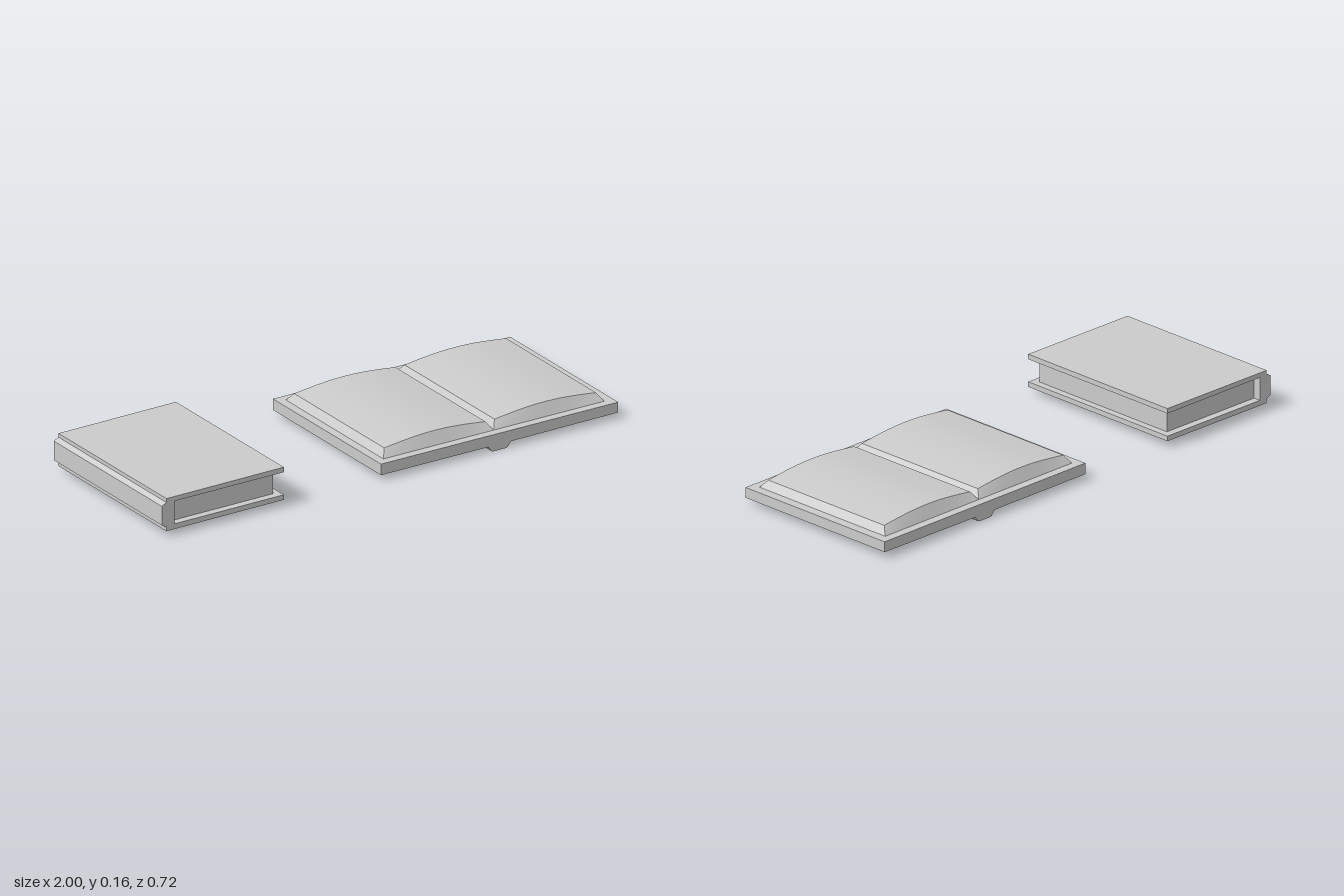
import * as THREE from 'three';
import { toCreasedNormals } from 'three/addons/utils/BufferGeometryUtils.js';

const material = new THREE.MeshStandardMaterial({ color: 0xcccccc });

function addMesh(parent, name, geometry) {
  const mesh = new THREE.Mesh(geometry, material);
  mesh.name = name;
  parent.add(mesh);
  return mesh;
}

// Extrude an x-y outline along z, centred on z = 0
function prism(points, depth) {
  const shape = new THREE.Shape(points.map(([x, y]) => new THREE.Vector2(x, y)));
  return new THREE.ExtrudeGeometry(shape, { depth, bevelEnabled: false }).translate(0, 0, -depth / 2);
}

// Stack of pages: sloped edges all round and a gently domed top
function pageBlock(x0, x1) {
  const n = 12, inset = 0.02, base = 0.066;
  const pos = [], index = [];
  for (let i = 0; i <= n; i++) {
    const t = i / n;
    const bottomX = x0 + (x1 - x0) * t;
    const topX = x0 + inset + (x1 - x0 - 2 * inset) * t;
    const topY = 0.096 + 0.018 * Math.sin(Math.PI * t);
    pos.push(bottomX, base, 0.325, topX, topY, 0.3, topX, topY, -0.3, bottomX, base, -0.325);
  }
  const quad = (a, b, c, d) => index.push(a, b, c, a, c, d);
  for (let i = 0; i < n; i++) {
    for (let j = 0; j < 4; j++) {
      const k = (j + 1) % 4;
      quad(i * 4 + j, i * 4 + 4 + j, i * 4 + 4 + k, i * 4 + k);
    }
  }
  const e = n * 4;
  quad(0, 1, 2, 3);
  quad(e + 3, e + 2, e + 1, e);
  const g = new THREE.BufferGeometry();
  g.setAttribute('position', new THREE.Float32BufferAttribute(pos, 3));
  g.setIndex(index);
  return toCreasedNormals(g, 0.35);
}

export function createModel() {
  const model = new THREE.Group();
  model.name = 'books';

  // Open book lying flat
  const openBook = new THREE.Group();
  openBook.name = 'openBook';
  model.add(openBook);
  addMesh(openBook, 'openCover', prism([
    [-0.04, 0.022], [0.43, 0.022], [0.445, 0.002], [0.452, 0], [0.508, 0], [0.515, 0.002],
    [0.53, 0.022], [1, 0.025], [1, 0.066], [-0.04, 0.066],
  ], 0.72));
  addMesh(openBook, 'leftPages', pageBlock(0.477, 0.962));
  addMesh(openBook, 'rightPages', pageBlock(-0.006, 0.477));

  // Closed book: C-shaped cover with a raised spine around the pages
  const closedBook = new THREE.Group();
  closedBook.name = 'closedBook';
  model.add(closedBook);
  addMesh(closedBook, 'closedCover', prism([
    [-0.98, 0.022], [-0.465, 0.025], [-0.465, 0.045], [-0.945, 0.043], [-0.945, 0.134],
    [-0.465, 0.135], [-0.465, 0.155], [-0.98, 0.152], [-0.98, 0.137], [-1, 0.126],
    [-1, 0.05], [-0.98, 0.038],
  ], 0.72));
  addMesh(closedBook, 'closedPages', new THREE.BoxGeometry(0.455, 0.094, 0.66)).position.set(-0.7205, 0.089, 0);

  return model;
}
